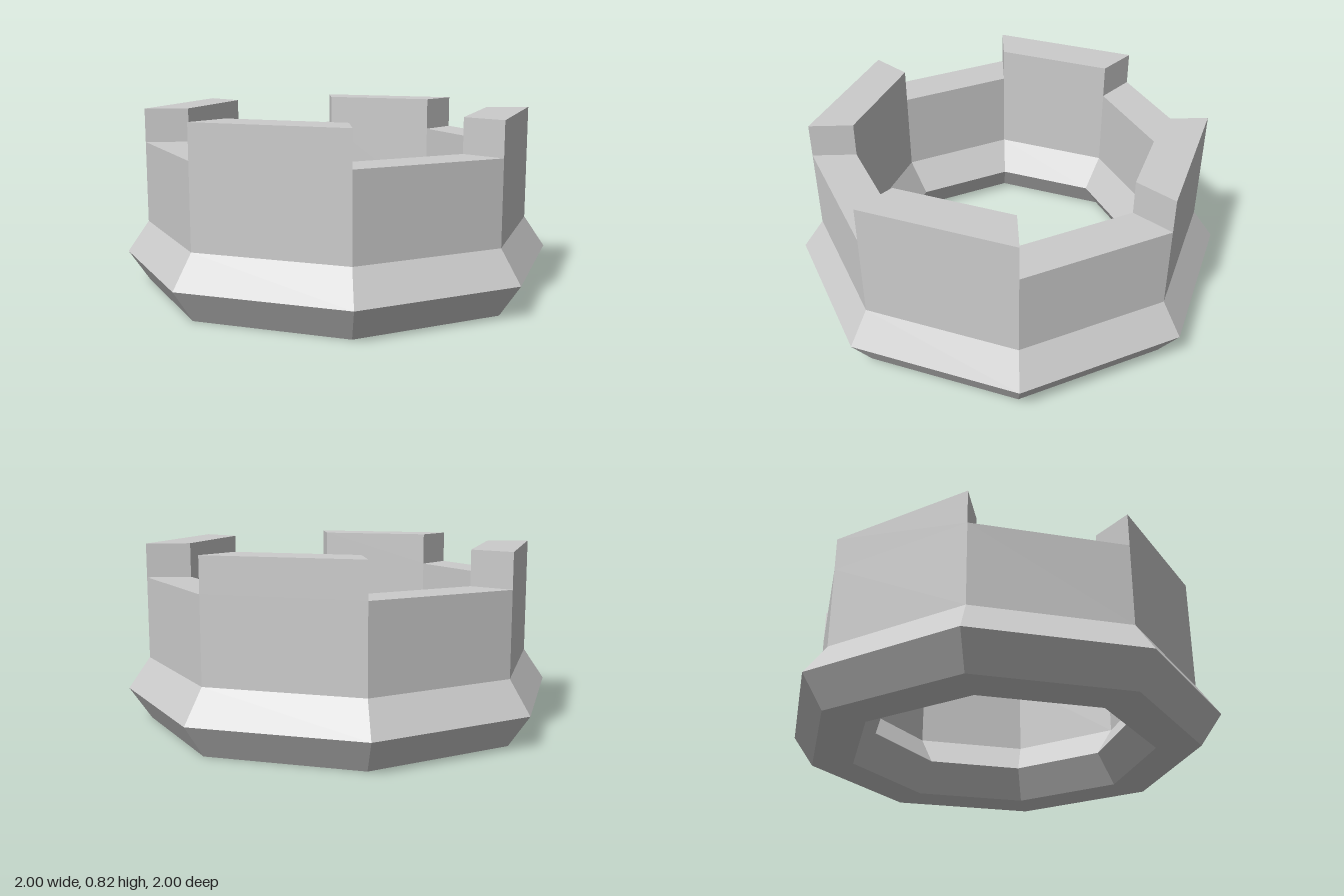
import * as THREE from 'three';

const SIDES = 8, STEP = (Math.PI * 2) / SIDES;
const INNER = 0.7, OUTER = 0.9;
const BULGE = 0.145, WALL = 0.29, LOW = 0.665, HIGH = 0.82;

export function createModel() {
  const group = new THREE.Group();
  const material = new THREE.MeshStandardMaterial({ color: 0xcccccc, flatShading: true });

  const add = (parent, name, geometry) => {
    const mesh = new THREE.Mesh(geometry, material);
    mesh.name = name;
    parent.add(mesh);
  };
  // Revolves a [radius, height] profile over some of the octagon's sides
  const revolve = (profile, start = 0, sides = SIDES) => new THREE.LatheGeometry(
    profile.map(([r, y]) => new THREE.Vector2(r, y)), sides, start, sides * STEP);

  // Octagonal wall with a flared foot inside and out, open at the top
  add(group, 'flaredWall', revolve([
    [INNER, LOW], [INNER, WALL], [INNER - 0.1, BULGE], [INNER, 0],
    [OUTER, 0], [OUTER + 0.1, BULGE], [OUTER, WALL], [OUTER, LOW],
  ]));

  // Alternating low ledges and raised battlements
  for (let i = 0; i < SIDES; i++) {
    const start = i * STEP;
    if (i % 2 === 0) {
      add(group, 'ledge', revolve([[OUTER, LOW], [INNER, LOW]], start, 1));
      continue;
    }
    const battlement = new THREE.Group();
    battlement.name = 'battlement';
    add(battlement, 'battlementBlock',
      revolve([[OUTER, LOW], [OUTER, HIGH], [INNER, HIGH], [INNER, LOW]], start, 1));
    // Flat radial ends, each facing away from the block
    for (const end of [0, 1]) {
      const cap = new THREE.PlaneGeometry(OUTER - INNER, HIGH - LOW);
      cap.rotateY(end * Math.PI);
      cap.translate((OUTER + INNER) / 2, (HIGH + LOW) / 2, 0);
      cap.rotateY(start + end * STEP - Math.PI / 2);
      add(battlement, 'battlementEnd', cap);
    }
    group.add(battlement);
  }
  return group;
}
